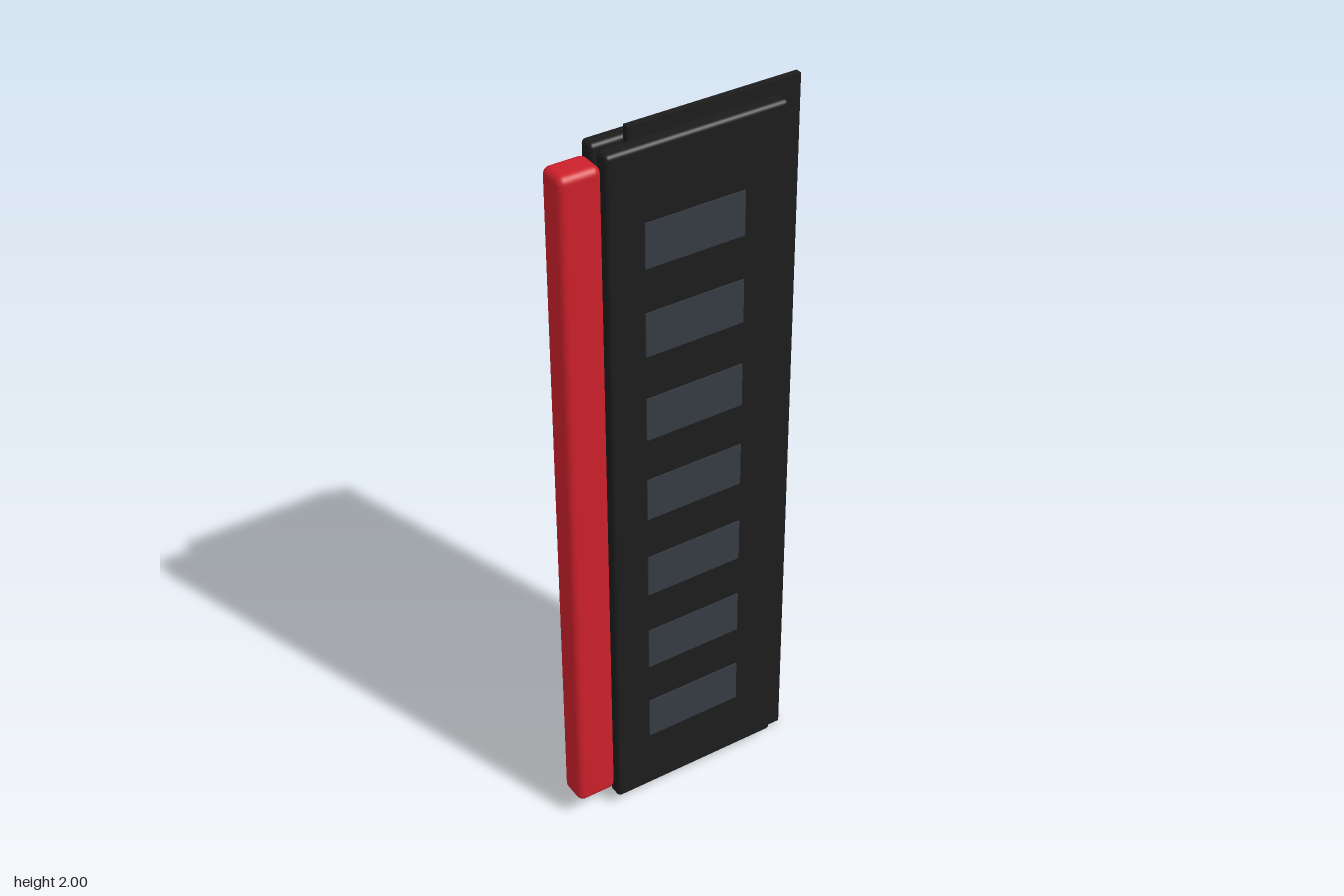
import * as THREE from 'three';
import { RoundedBoxGeometry } from 'three/addons/geometries/RoundedBoxGeometry.js';

const material = (name, color) => {
  const m = new THREE.MeshStandardMaterial({ color });
  m.name = name;
  return m;
};

export function createModel() {
  const group = new THREE.Group();
  group.name = 'memoryModule';
  const black = material('black', 0x1c1c1c);
  const grey = material('slate grey', 0x353a42);
  const red = material('red', 0xcc202b);

  const add = (name, geometry, mat, x, y, z) => {
    const mesh = new THREE.Mesh(geometry, mat);
    mesh.name = name;
    mesh.position.set(x, y, z);
    group.add(mesh);
  };

  // Thin circuit board between the two covers
  add('circuitBoard', new THREE.BoxGeometry(0.465, 2, 0.017), black, 0.0975, 1, 0);

  // Rounded bar along the outer edge
  add('edgeBar', new RoundedBoxGeometry(0.112, 1.88, 0.083, 4, 0.02), red, -0.274, 1.003, 0);

  // Cover and row of inset panels on each side
  const cover = new RoundedBoxGeometry(0.488, 1.935, 0.0445, 4, 0.012);
  const panel = new THREE.BoxGeometry(0.272, 0.12, 0.006);
  for (const side of [1, -1]) {
    const label = side > 0 ? 'front' : 'back';
    add(label + 'Cover', cover, black, 0.025, 1.003, side * 0.032);
    for (let i = 0; i < 7; i++) {
      add(label + 'Panel' + (i + 1), panel, grey, 0.014, 0.275 + i * 0.24, side * 0.055);
    }
  }
  return group;
}
